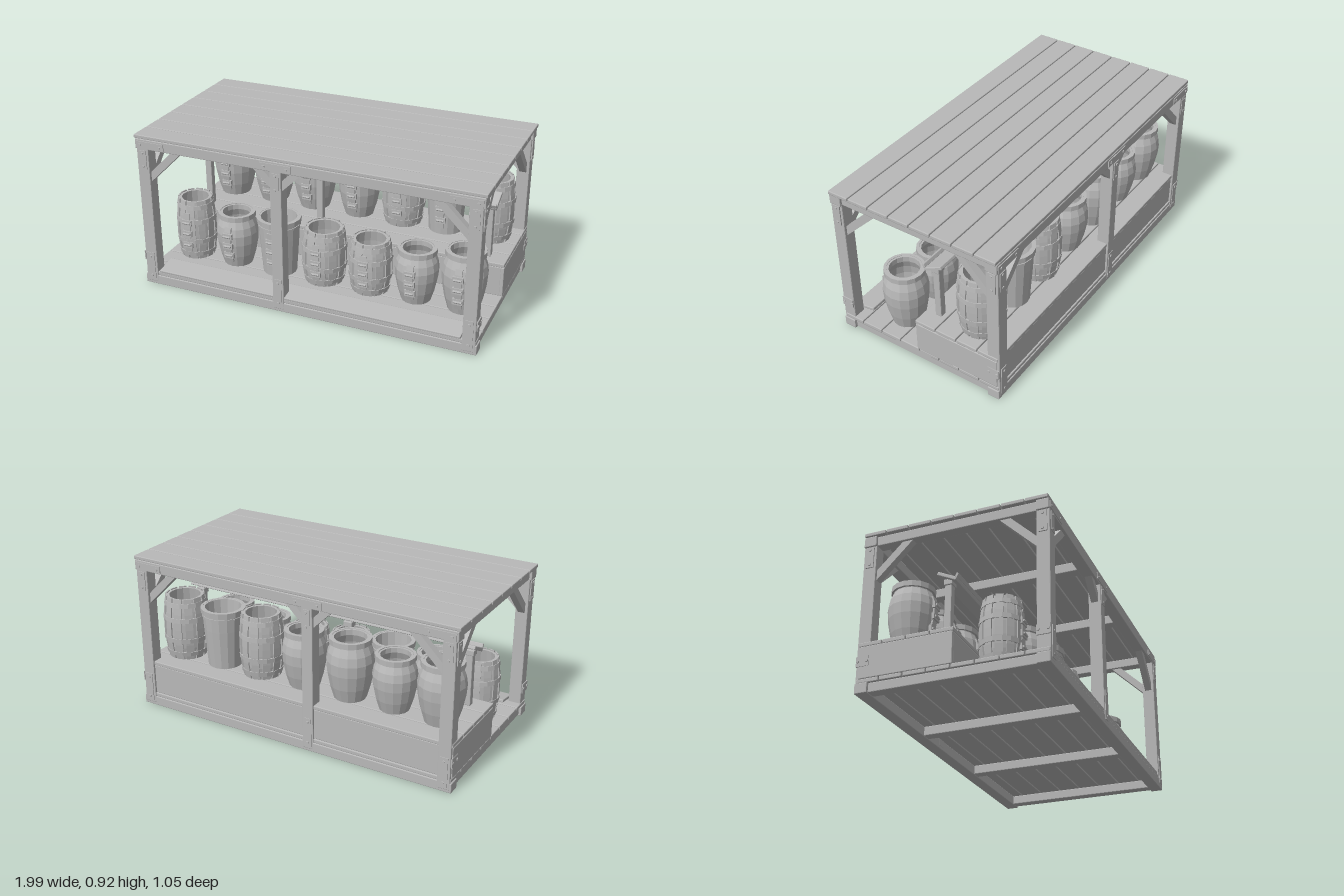
import * as THREE from 'three';
import { RoundedBoxGeometry } from 'three/addons/geometries/RoundedBoxGeometry.js';

const grey = new THREE.MeshStandardMaterial({ color: 0xb8b8b8 });
grey.name = 'plain grey';
grey.flatShading = true;

function add(parent, name, geo, x = 0, y = 0, z = 0) {
  const m = new THREE.Mesh(geo, grey);
  m.name = name;
  m.position.set(x, y, z);
  parent.add(m);
  return m;
}

// Slightly bevelled timber, given by its limits on each axis
function timber(parent, name, x0, x1, y0, y1, z0, z1) {
  const w = x1 - x0, h = y1 - y0, d = z1 - z0;
  const r = Math.min(0.004, Math.min(w, h, d) * 0.25);
  return add(parent, name, new RoundedBoxGeometry(w, h, d, 1, r), (x0 + x1) / 2, (y0 + y1) / 2, (z0 + z1) / 2);
}

// Row of planks running along x
function planks(parent, name, count, halfX, y0, y1, zMin, zMax) {
  const pitch = (zMax - zMin) / count;
  for (let i = 0; i < count; i++) {
    const z = zMin + i * pitch;
    timber(parent, name, -halfX, halfX, y0, y1, z + 0.003, z + pitch - 0.003);
  }
}

// Diagonal brace drawn in a plane, its ends cut flush with post and beam
function brace(parent, x, z, yaw, low, reach) {
  const t = 0.058, top = 0.838;
  const s = new THREE.Shape([[0, low], [reach, top], [reach - t, top], [0, low + t]].map(p => new THREE.Vector2(...p)));
  const geo = new THREE.ExtrudeGeometry(s, { depth: 0.04, bevelEnabled: false });
  geo.translate(0, 0, -0.02);
  add(parent, 'brace', geo, x, 0, z).rotation.y = yaw;
}

// Fixing plate with bolts, facing +z before rotation
function plate(parent, w, h, x, y, z, yaw = 0) {
  const g = new THREE.Group();
  g.name = 'bracket';
  add(g, 'bracketPlate', new THREE.BoxGeometry(w, h, 0.006));
  const long = Math.max(w, h) * 0.36;
  for (const s of [-1, 1]) {
    const b = add(g, 'bolt', new THREE.CylinderGeometry(0.007, 0.009, 0.006, 6), w > h ? s * long : 0, w > h ? 0 : s * long, 0.004);
    b.rotation.x = Math.PI / 2;
  }
  g.position.set(x, y, z);
  g.rotation.y = yaw;
  parent.add(g);
}

// Radius of a profile of [radius, height] pairs at a height
function radiusAt(profile, y) {
  for (let i = 1; i < profile.length; i++) {
    const [r0, y0] = profile[i - 1], [r1, y1] = profile[i];
    if (y <= y1) return r0 + (r1 - r0) * Math.max(0, (y - y0) / (y1 - y0));
  }
  return profile[profile.length - 1][0];
}

// Strip that follows the outside of a vessel at a given angle
function strip(parent, name, profile, angle, w, y0, y1, thick) {
  const geo = new THREE.BoxGeometry(w, y1 - y0, thick, 1, 8, 1);
  geo.translate(0, (y0 + y1) / 2, 0);
  const p = geo.attributes.position;
  for (let i = 0; i < p.count; i++) p.setZ(i, p.getZ(i) + radiusAt(profile, p.getY(i)));
  geo.computeVertexNormals();
  add(parent, name, geo).rotation.y = angle;
}

// Open vessel wall: outside, rim, inside and inner floor
function shell(parent, name, profile, sides) {
  const pts = [[0, 0], ...profile];
  const wall = 0.016;
  for (let i = profile.length - 1; i > 0; i--) pts.push([profile[i][0] - wall, profile[i][1]]);
  pts.push([profile[0][0] - wall, 0.025], [0, 0.025]);
  add(parent, name, new THREE.LatheGeometry(pts.map(p => new THREE.Vector2(...p)), sides));
}

// Ring wrapped around a vessel
function hoop(parent, name, profile, y, h, out, sides) {
  const a = radiusAt(profile, y - h / 2), b = radiusAt(profile, y + h / 2);
  const pts = [[a - 0.004, y - h / 2], [a + out, y - h / 2], [b + out, y + h / 2], [b - 0.004, y + h / 2], [a - 0.004, y - h / 2]];
  add(parent, name, new THREE.LatheGeometry(pts.map(p => new THREE.Vector2(...p)), sides));
}

// Vertical strap with buckles on the front of a vessel
function strap(parent, profile, h) {
  strip(parent, 'strap', profile, 0, 0.04, h * 0.12, h * 0.82, 0.012);
  for (const f of [0.27, 0.47, 0.66]) {
    add(parent, 'buckle', new THREE.BoxGeometry(0.06, 0.035, 0.016), 0, h * f, radiusAt(profile, h * f) + 0.004);
    const pin = add(parent, 'bucklePin', new THREE.CylinderGeometry(0.007, 0.007, 0.045, 6), 0, h * f, radiusAt(profile, h * f) + 0.014);
    pin.rotation.z = Math.PI / 2;
  }
}

const shapes = {
  barrel: [[0.8, 0], [0.91, 0.2], [0.95, 0.4], [0.95, 0.6], [0.91, 0.8], [0.82, 1]],
  jar: [[0.68, 0], [0.85, 0.22], [0.97, 0.46], [1, 0.64], [0.94, 0.78], [0.8, 0.91], [0.8, 1]],
  bucket: [[0.78, 0], [0.84, 0.3], [0.91, 0.65], [0.96, 1]],
};

function vessel(parent, kind, x, y, z, r, h) {
  const g = new THREE.Group();
  g.name = kind;
  const profile = shapes[kind].map(([a, b]) => [a * r, b * h]);
  shell(g, kind + 'Body', profile, 16);
  if (kind === 'barrel') {
    // raised staves and four hoops
    for (let i = 0; i < 12; i++) strip(g, 'stave', profile, (i + 0.5) * Math.PI / 6, r * 0.34, 0.002, h + 0.006, 0.008);
    for (const f of [0.1, 0.33, 0.67, 0.91]) hoop(g, 'hoop', profile, f * h, 0.026, 0.009, 16);
  } else if (kind === 'jar') {
    hoop(g, 'jarRim', profile, h * 0.965, 0.03, 0.012, 16);
  } else {
    hoop(g, 'bucketRim', profile, h * 0.96, 0.03, 0.009, 16);
    hoop(g, 'bucketBand', profile, h * 0.87, 0.012, 0.005, 16);
  }
  strap(g, profile, h);
  g.position.set(x, y, z);
  parent.add(g);
}

export function createModel() {
  const model = new THREE.Group();
  model.name = 'marketStall';

  // roof and floor boards
  planks(model, 'roofPlank', 8, 0.997, 0.895, 0.916, -0.515, 0.515);
  planks(model, 'floorPlank', 8, 0.985, 0.056, 0.079, -0.513, 0.513);

  // frames under the roof and the floor
  for (const [name, y0, y1] of [['roofBeam', 0.836, 0.895], ['floorBeam', 0, 0.056]]) {
    for (const s of [-1, 1]) timber(model, name, -0.99, 0.99, y0, y1, s * 0.479 - 0.035, s * 0.479 + 0.035);
    for (const x of [-0.945, -0.33, 0.33, 0.945]) timber(model, name, x - 0.03, x + 0.03, y0 + 0.004, y1, -0.45, 0.45);
  }

  for (const s of [-1, 1]) {
    const z = s * 0.479, face = s * 0.516, yaw = s > 0 ? 0 : Math.PI;
    // posts
    for (const x of [-0.945, -0.14, 0.945]) {
      const w = x === -0.14 ? 0.033 : 0.036;
      timber(model, 'post', x - w, x + w, 0.015, 0.85, z - 0.036, z + 0.036);
      plate(model, 0.045, 0.11, x, 0.775, face, yaw);
      plate(model, x === -0.14 ? 0.18 : 0.17, 0.04, x === -0.14 ? x : x - Math.sign(x) * 0.05, 0.863, face, yaw);
      plate(model, 0.045, 0.17, x, 0.115, face, yaw);
    }
    // braces along the long sides and the ends
    for (const e of [-1, 1]) {
      brace(model, e * 0.909, z, e > 0 ? Math.PI : 0, 0.645, 0.195);
      brace(model, -0.14 + e * 0.033, z, e > 0 ? 0 : Math.PI, 0.73, 0.11);
      brace(model, e * 0.945, s * 0.443, s * Math.PI / 2, 0.64, 0.2);
      // end brackets
      plate(model, 0.07, 0.055, e * 0.986, 0.173, z, e * Math.PI / 2);
      plate(model, 0.045, 0.12, e * 0.984, 0.77, z, e * Math.PI / 2);
    }
  }

  // raised bench at the back
  timber(model, 'benchFront', -0.97, 0.97, 0.079, 0.256, -0.01, 0.01);
  timber(model, 'benchBack', -0.97, 0.97, 0.079, 0.256, -0.503, -0.483);
  for (const s of [-1, 1]) timber(model, 'benchEnd', s * 0.976 - 0.01, s * 0.976 + 0.01, 0.079, 0.256, -0.5, 0.01);
  planks(model, 'benchPlank', 4, 0.985, 0.256, 0.279, -0.509, 0.015);

  // sloping step board along the front
  const step = add(model, 'frontStep', new RoundedBoxGeometry(1.8, 0.018, 0.13, 1, 0.004), 0, 0.09, 0.446);
  step.rotation.x = 0.15;

  // sloping display shelf on uprights
  for (const x of [-0.87, -0.14, 0.87]) {
    timber(model, 'shelfPost', x - 0.02, x + 0.02, 0.279, 0.58, -0.087, -0.049);
    timber(model, 'shelfCap', x - 0.027, x + 0.027, 0.572, 0.605, -0.091, -0.044);
  }
  const shelf = new THREE.Group();
  shelf.name = 'displayShelf';
  timber(shelf, 'shelfBoard', -0.915, 0.915, -0.01, 0.01, -0.06, 0.06);
  timber(shelf, 'shelfLip', -0.915, 0.915, 0.008, 0.032, 0.046, 0.06);
  shelf.position.set(0, 0.613, -0.067);
  shelf.rotation.x = 0.45;
  model.add(shelf);

  // containers: kind, x, radius, height
  const frontRow = [
    ['barrel', -0.82, 0.115, 0.365], ['jar', -0.55, 0.122, 0.32], ['bucket', -0.28, 0.125, 0.34],
    ['barrel', 0, 0.128, 0.325], ['barrel', 0.28, 0.122, 0.31], ['jar', 0.55, 0.122, 0.31], ['jar', 0.82, 0.126, 0.355],
  ];
  const backRow = [
    ['jar', -0.82, 0.13, 0.34], ['jar', -0.55, 0.122, 0.31], ['jar', -0.28, 0.132, 0.35],
    ['jar', 0.01, 0.125, 0.33], ['barrel', 0.29, 0.127, 0.37], ['bucket', 0.55, 0.125, 0.35], ['barrel', 0.82, 0.13, 0.37],
  ];
  for (const [kind, x, r, h] of frontRow) vessel(model, kind, x, 0.079, 0.2, r, h);
  for (const [kind, x, r, h] of backRow) vessel(model, kind, x, 0.279, -0.3, r, h);
  return model;
}
